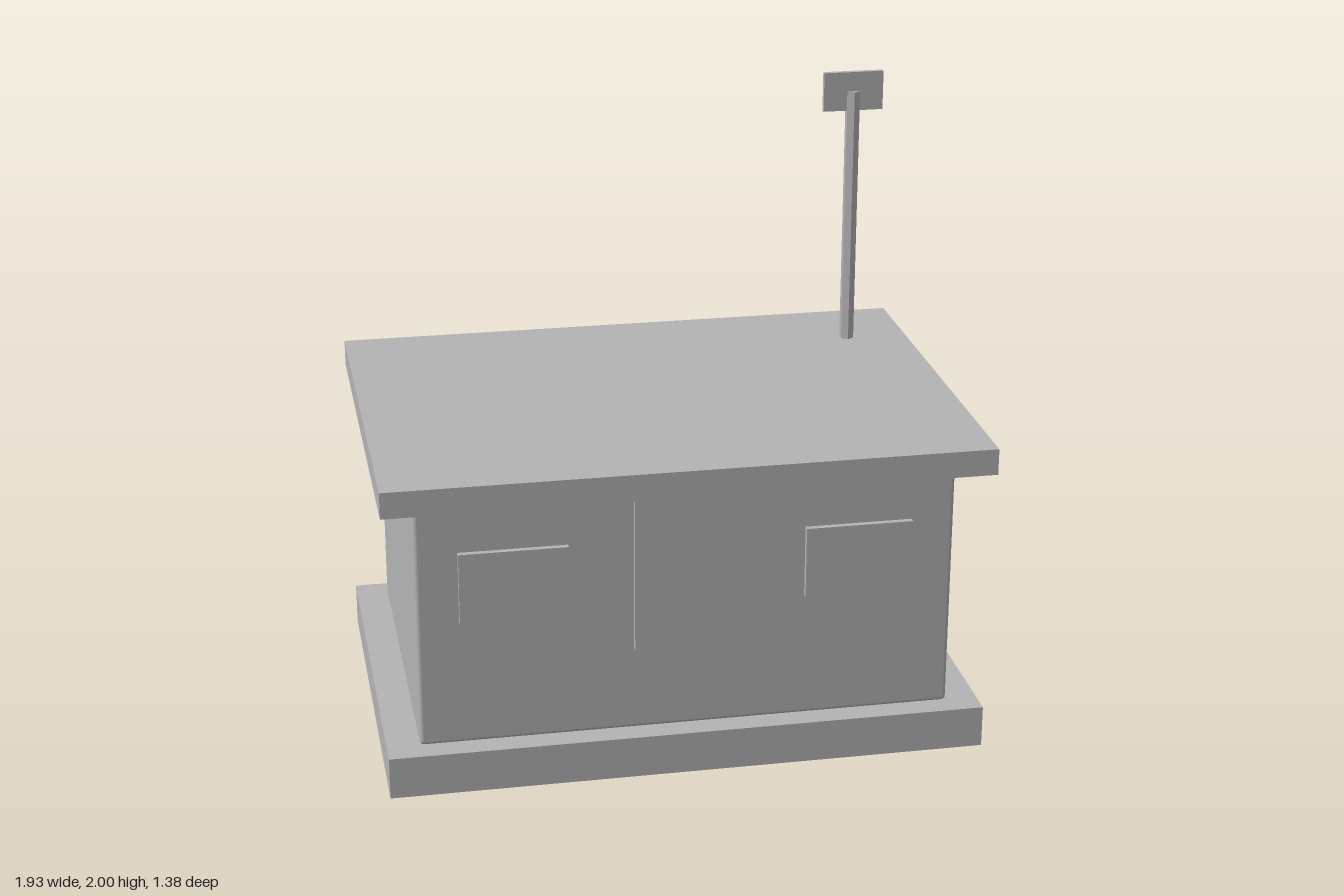
import * as THREE from 'three';
import { RoundedBoxGeometry } from 'three/addons/geometries/RoundedBoxGeometry.js';

export function createModel() {
  const group = new THREE.Group();
  const grey = new THREE.MeshStandardMaterial({ color: 0xb4b4b4, side: THREE.DoubleSide });
  grey.name = 'plain grey';

  const add = (name, geometry, x, y, z) => {
    const mesh = new THREE.Mesh(geometry, grey);
    mesh.name = name;
    mesh.position.set(x, y, z);
    group.add(mesh);
    return mesh;
  };
  // Box given by its lower and upper limits on each axis
  const addBox = (name, [x0, x1], [y0, y1], [z0, z1]) => add(
    name, new THREE.BoxGeometry(x1 - x0, y1 - y0, z1 - z0),
    (x0 + x1) / 2, (y0 + y1) / 2, (z0 + z1) / 2);

  // Plinth: a hollow tray, open underneath (the fourth box face is removed)
  const plinth = addBox('plinth', [-0.965, 0.965], [0, 0.138], [-0.655, 0.655]).geometry;
  const index = Array.from(plinth.index.array);
  index.splice(18, 6);
  plinth.setIndex(index);
  plinth.clearGroups();

  // Walls with softly rounded edges
  add('walls', new RoundedBoxGeometry(1.72, 0.832, 1.17, 2, 0.014), 0, 0.554, 0);

  // Overhanging flat roof
  addBox('roof', [-0.965, 0.965], [0.97, 1.056], [-0.69, 0.69]);

  // Door and windows stand slightly proud of the front wall
  const front = [0.58, 0.604];
  addBox('door', [-0.173, 0.171], [0.42, 0.97], front);
  addBox('rightWindow', [-0.725, -0.38], [0.558, 0.795], front);
  addBox('leftWindow', [0.376, 0.721], [0.558, 0.795], front);

  // Roof mast with a small sign plate
  const mast = new THREE.CylinderGeometry(0.025, 0.025, 0.88, 6).toNonIndexed();
  mast.computeVertexNormals();
  add('mast', mast, 0.757, 1.494, -0.415);
  addBox('signPlate', [0.655, 0.859], [1.868, 2], [-0.424, -0.406]);

  return group;
}
